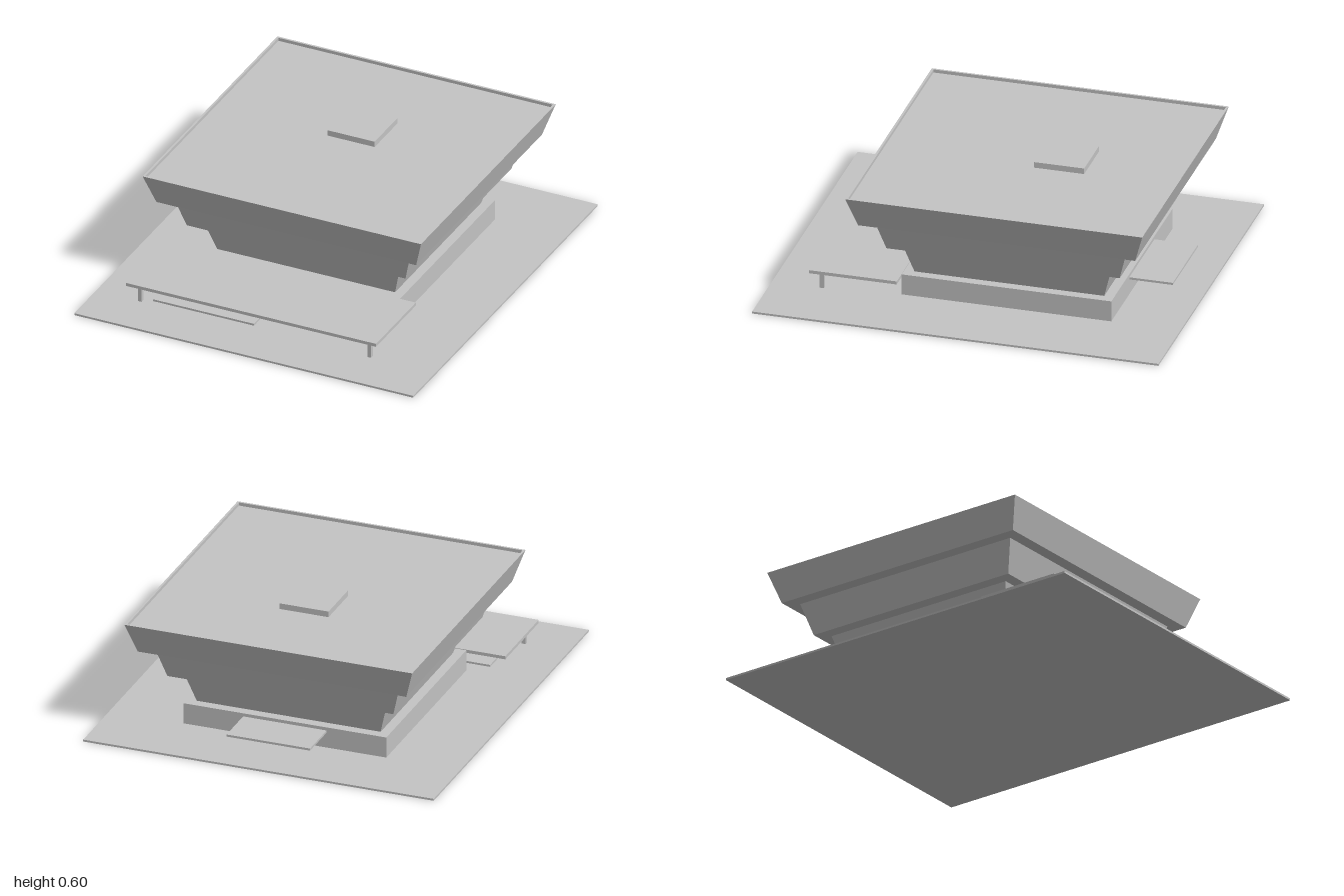
import * as THREE from 'three';

export function createModel() {
  const model = new THREE.Group();
  model.name = 'steppedBuilding';
  const concrete = new THREE.MeshStandardMaterial({ color: 0xc4c4c4 });
  concrete.name = 'pale concrete';
  const centreZ = -0.143; // middle of the main building

  function add(name, geometry, x = 0, y = 0, z = 0) {
    const mesh = new THREE.Mesh(geometry, concrete);
    mesh.name = name;
    mesh.position.set(x, y, z);
    model.add(mesh);
  }

  // Box given by its limits on each axis
  function block(name, x0, x1, y0, y1, z0, z1) {
    add(name, new THREE.BoxGeometry(x1 - x0, y1 - y0, z1 - z0),
      (x0 + x1) / 2, (y0 + y1) / 2, (z0 + z1) / 2);
  }

  // Square, flat-faced solid from a profile of [half width, height]
  function squareTier(name, profile) {
    const points = profile.map(([half, y]) => new THREE.Vector2(half * Math.SQRT2, y));
    const geometry = new THREE.LatheGeometry(points, 4, Math.PI / 4).toNonIndexed();
    geometry.computeVertexNormals();
    add(name, geometry, 0, 0, centreZ);
  }

  // Ground slab and pedestal
  block('groundSlab', -0.89, 0.89, 0, 0.01, -1, 1);
  block('pedestal', -0.515, 0.515, 0.01, 0.115, centreZ - 0.516, centreZ + 0.516);

  // Three tiers flaring outward, the top one with a parapet and sunken roof
  squareTier('lowerTier', [[0, 0.115], [0.467, 0.115], [0.514, 0.273], [0, 0.273]]);
  squareTier('middleTier', [[0, 0.273], [0.574, 0.273], [0.62, 0.43], [0, 0.43]]);
  squareTier('upperTier', [[0, 0.43], [0.682, 0.43], [0.731, 0.583],
    [0.72, 0.583], [0.72, 0.567], [0, 0.567]]);
  block('roofHatch', -0.124, 0.124, 0.567, 0.596, -0.411, -0.163);

  // Front canopy on two posts, with a low step beneath
  block('frontCanopy', -0.713, 0.6, 0.102, 0.118, 0.373, 0.804);
  for (const x of [-0.66, 0.545]) {
    block('canopyPost', x - 0.01, x + 0.01, 0.01, 0.102, 0.744, 0.765);
  }
  block('entranceStep', -0.606, -0.075, 0.01, 0.02, 0.45, 0.735);

  // Small canopy over the back door
  block('backCanopy', -0.212, 0.212, 0.088, 0.099, -0.873, -0.659);

  return model;
}
